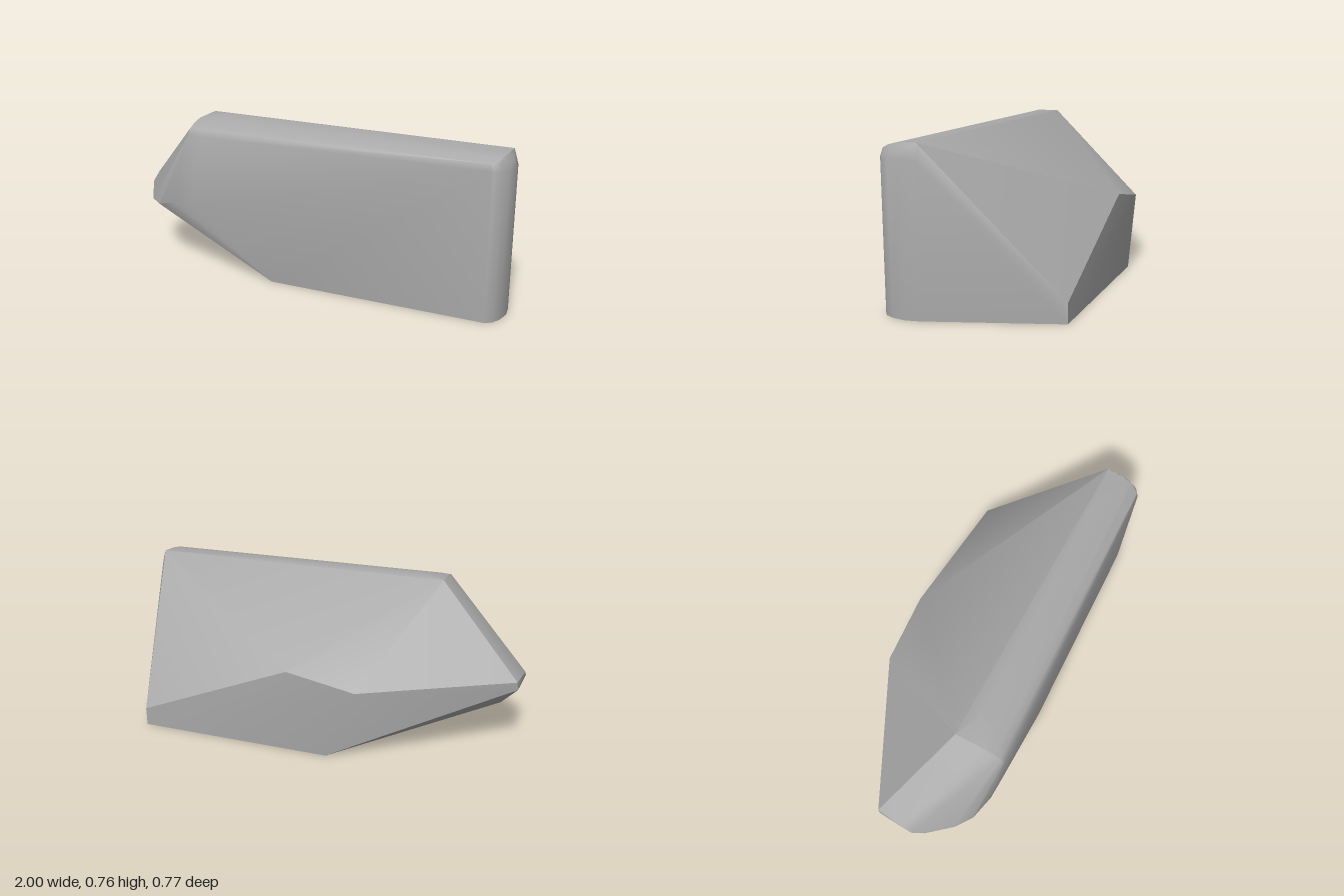
import * as THREE from 'three';
import { toCreasedNormals } from 'three/addons/utils/BufferGeometryUtils.js';
import { ConvexGeometry } from 'three/addons/geometries/ConvexGeometry.js';

// Corners of the boulder, grouped by the area they shape
const back = [
  [0.81, 0, -0.388], [0.81, 0.09, -0.388], [0.045, 0.41, -0.388],
  [-0.29, 0.35, -0.388], [-0.15, 0, -0.388],
];
const nose = [
  [-0.98, 0.37, -0.065], [-0.985, 0.33, -0.06], [-1, 0.37, 0.07], [-1, 0.33, 0.12],
  [-0.97, 0.28, 0.17], [-0.9, 0.2, 0.05], [-0.84, 0.17, 0.16],
  [-0.88, 0.29, 0.285], [-0.8, 0.29, 0.345], [-0.68, 0.32, 0.38],
];
const frontFoot = [[-0.12, 0, 0.387], [-0.57, 0.32, 0.387]];
// Rounded top edge: [z, y at the nose end, y at the far end, x at the far end]
const topEdge = [
  [0.21, 0.765, 0.738, 0.965], [0.28, 0.748, 0.733, 0.965],
  [0.335, 0.73, 0.724, 0.955], [0.37, 0.71, 0.705, 0.94], [0.387, 0.68, 0.675, 0.925],
];
// Rounded upright corner in plan: [x, z]
const uprightCorner = [[0.99, 0.2], [0.998, 0.26], [0.985, 0.325], [0.965, 0.365], [0.935, 0.386]];

export function createModel() {
  const group = new THREE.Group();
  group.name = 'boulder';

  const points = [...back, ...nose, ...frontFoot, [-0.57, 0.755, 0.145], [0.97, 0.738, 0.2]];
  topEdge.forEach(([z, yNose, yEnd, xEnd], i) => {
    points.push([i < 2 ? -0.45 : -0.52, yNose, z], [xEnd, yEnd, z]);
    if (i > 0) points.push([-0.57, yNose - 0.002, z - 0.002]);
  });
  for (const [x, z] of uprightCorner) {
    points.push([x - 0.005, 0, z], [x, 0.67, z], [x - 0.012, 0.705, z - 0.006]);
  }

  // Convex stone with soft rounded edges and sharp cut faces
  const hull = new ConvexGeometry(points.map((p) => new THREE.Vector3(...p)));
  const stone = new THREE.MeshStandardMaterial({ color: 0xa8a8a8 });
  stone.name = 'stone grey';
  const rock = new THREE.Mesh(toCreasedNormals(hull, 0.6), stone);
  rock.name = 'rock';
  group.add(rock);
  return group;
}
